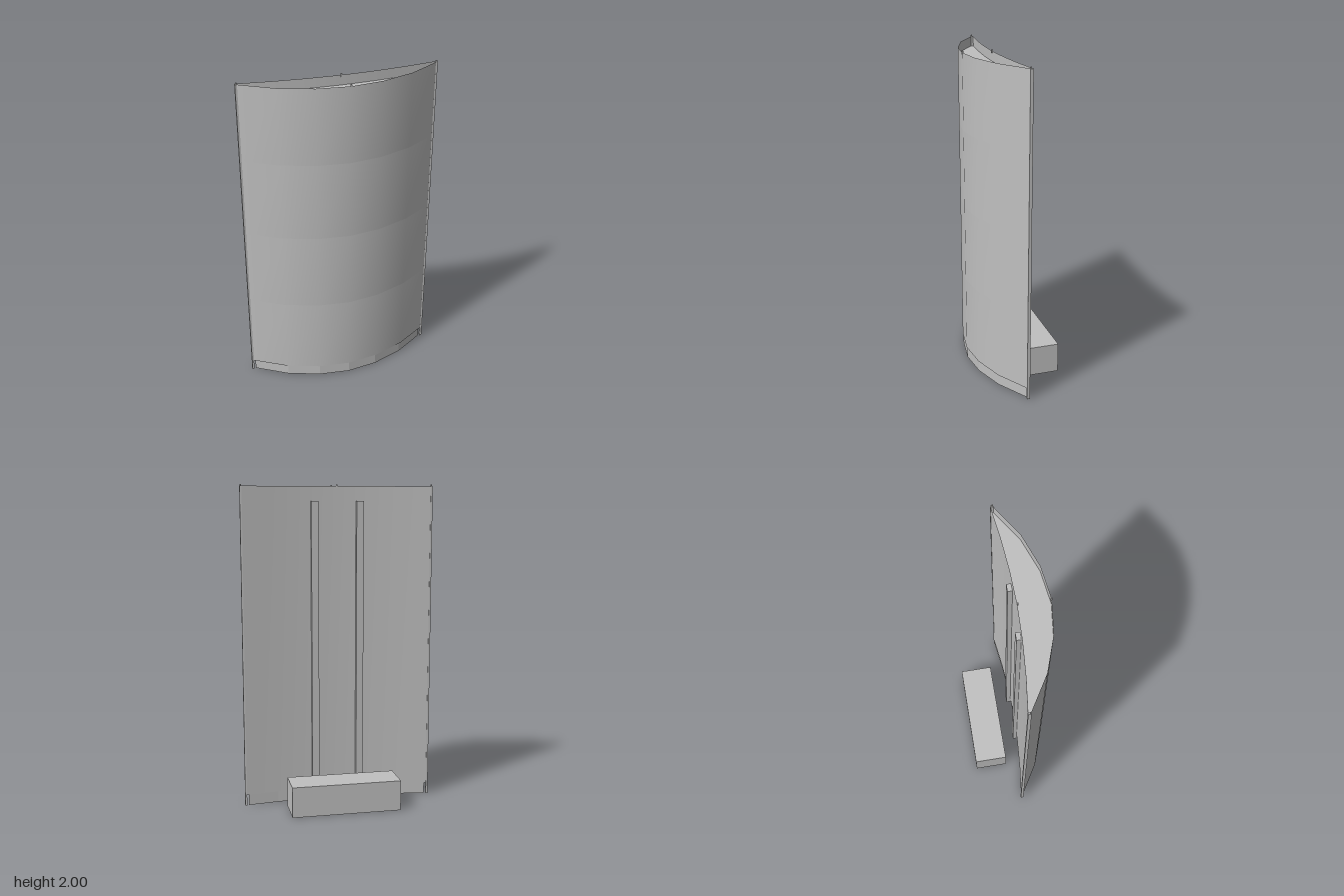
import * as THREE from 'three';

const grey = new THREE.MeshStandardMaterial({ color: 0xc0c0c0, side: THREE.DoubleSide });
grey.name = 'grey metal';

// Right half of each curved outline as [x, z], mirrored to the full width
const mirrored = (half) => [...half.slice(1).reverse().map(([x, z]) => [-x, z]), ...half];
const frontCurve = mirrored([[0, 0.25], [0.195, 0.226], [0.395, 0.156], [0.589, 0.037]]);
const backCurve = mirrored([[0, 0.068], [0.195, 0.062], [0.395, 0.046], [0.589, 0.022]]);
const inset = (curve, dz) => curve.map(([x, z]) => [x * 0.978, z + dz]);

export function createModel() {
  const model = new THREE.Group();

  function add(name, geometry, x = 0, y = 0, z = 0) {
    const mesh = new THREE.Mesh(geometry, grey);
    mesh.name = name;
    mesh.position.set(x, y, z);
    model.add(mesh);
  }

  const box = (name, w, h, d, x, y, z) => add(name, new THREE.BoxGeometry(w, h, d), x, y + h / 2, z);

  // Thin upright sheet following a curve
  function sheet(name, curve, y0, y1, flat = false) {
    const pos = [], index = [];
    curve.forEach(([x, z], i) => {
      pos.push(x, y0, z, x, y1, z);
      if (i) index.push(2 * i - 2, 2 * i, 2 * i + 1, 2 * i - 2, 2 * i + 1, 2 * i - 1);
    });
    let g = new THREE.BufferGeometry();
    g.setAttribute('position', new THREE.Float32BufferAttribute(pos, 3));
    g.setIndex(index);
    if (flat) g = g.toNonIndexed();
    g.computeVertexNormals();
    add(name, g);
  }

  // Lens-shaped horizontal plate between the two curves
  function plate(name, y) {
    const outline = [...frontCurve, ...[...backCurve].reverse()];
    const shape = new THREE.Shape(outline.map(([x, z]) => new THREE.Vector2(x, -z)));
    add(name, new THREE.ShapeGeometry(shape).rotateX(-Math.PI / 2), 0, y, 0);
  }

  // Curved front in four stacked panels, and the single back panel
  const backReversed = [...backCurve].reverse();
  const seams = [0.07, 0.555, 1.04, 1.525, 1.99];
  for (let i = 0; i < 4; i++) sheet('frontPanel' + (i + 1), frontCurve, seams[i], seams[i + 1]);
  sheet('backPanel', backReversed, 0.07, 1.99);

  // Sunken top and underside plates
  plate('topPlate', 1.93);
  plate('bottomPlate', 0.07);

  // Open plinth, slightly set back
  sheet('frontPlinth', inset(frontCurve, -0.004), 0, 0.07, true);
  sheet('backPlinth', inset(backReversed, 0.004), 0, 0.07, true);

  for (const side of [-1, 1]) {
    // Corner posts with pins, and the rear support rails
    box('cornerPost', 0.012, 1.99, 0.018, side * 0.594, 0, 0.029);
    box('cornerPin', 0.007, 0.01, 0.007, side * 0.593, 1.99, 0.033);
    box('rearRail', 0.045, 1.9, 0.029, side * 0.142, 0, 0.0515);
  }

  // Centre pins on the top rim
  box('frontPin', 0.008, 0.02, 0.008, 0, 1.98, 0.248);
  box('backPin', 0.008, 0.02, 0.008, 0, 1.98, 0.07);

  // Separate ballast cover behind, open underneath
  const cover = new THREE.BoxGeometry(0.68, 0.19, 0.21);
  const faces = Array.from(cover.index.array);
  faces.splice(18, 6);
  cover.setIndex(faces);
  cover.clearGroups();
  add('ballastCover', cover, 0, 0.095, -0.15);

  return model;
}
